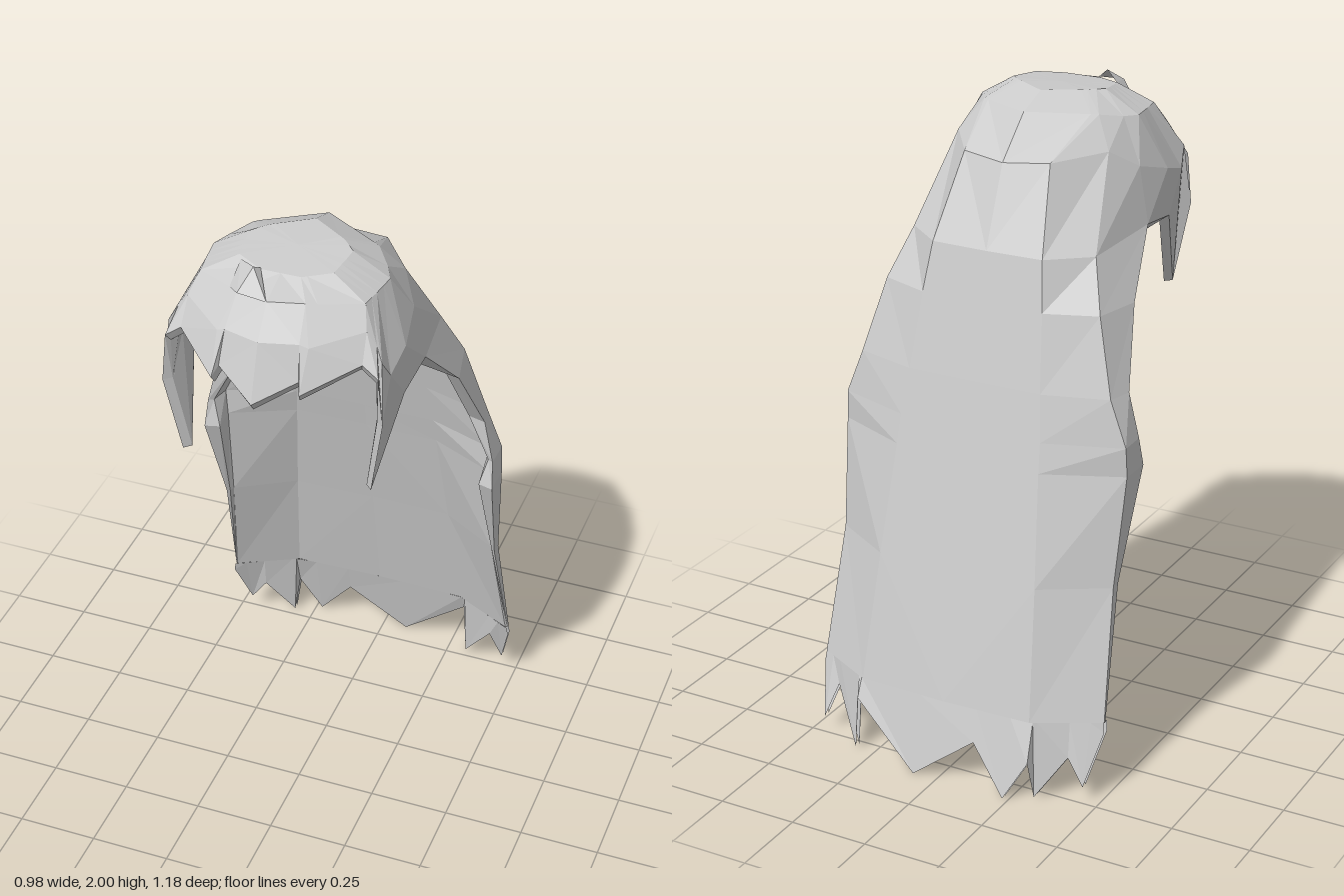
import * as THREE from 'three';

const material = new THREE.MeshStandardMaterial({ color: 0xcccccc, flatShading: true, side: THREE.DoubleSide });

// Skins neighbouring columns of points (left to right, each top to bottom); mirror adds the -x half.
function sheet(name, columns, mirror = true) {
  const pos = [];
  const tri = (a, b, c) => {
    pos.push(...a, ...b, ...c);
    if (mirror) for (const p of [a, c, b]) pos.push(-p[0], p[1], p[2]);
  };
  for (let i = 0; i < columns.length - 1; i++) {
    const l = columns[i], r = columns[i + 1];
    for (let j = 0; j < l.length - 1; j++) {
      tri(l[j], l[j + 1], r[j + 1]);
      tri(l[j], r[j + 1], r[j]);
    }
  }
  const geometry = new THREE.BufferGeometry();
  geometry.setAttribute('position', new THREE.Float32BufferAttribute(pos, 3));
  geometry.computeVertexNormals();
  const mesh = new THREE.Mesh(geometry, material);
  mesh.name = name;
  return mesh;
}

// Turns level rows [y, x, z, x, z, ...] into columns of points
const columnsFrom = levels => [0, 1, 2, 3].map(i => levels.map(l => [l[1 + 2 * i], l[0], l[2 + 2 * i]]));

export function createModel() {
  const group = new THREE.Group();
  group.name = 'longHair';

  // Half of the scalp: columns from the fringe centre round to the back centre, crown to edge
  const crown = [0, 1.993, 0.22];
  const fringe = [
    [[0, 1.98, 0.355], [0, 1.95, 0.46], [0, 1.86, 0.53], [0, 1.69, 0.588]],
    [[0.06, 1.98, 0.355], [0.1, 1.945, 0.425], [0.11, 1.86, 0.5], [0.118, 1.757, 0.53]],
    [[0.075, 1.981, 0.347], [0.13, 1.94, 0.41], [0.135, 1.85, 0.495], [0.13, 1.732, 0.558]],
    [[0.14, 1.985, 0.31], [0.245, 1.93, 0.345], [0.265, 1.87, 0.39], [0.27, 1.79, 0.437]],
    [[0.143, 1.987, 0.285], [0.25, 1.93, 0.31], [0.295, 1.83, 0.39], [0.318, 1.755, 0.44]],
  ];
  const sideLock = [
    fringe[4],
    [[0.146, 1.989, 0.265], [0.255, 1.93, 0.28], [0.318, 1.79, 0.41], [0.332, 1.6, 0.44]],
    [[0.15, 1.991, 0.24], [0.26, 1.93, 0.24], [0.33, 1.73, 0.37], [0.29, 1.35, 0.41]],
    [[0.155, 1.995, 0.2], [0.265, 1.93, 0.2], [0.335, 1.76, 0.26], [0.338, 1.61, 0.27]],
  ];
  const back = [
    sideLock[3],
    [[0.135, 1.997, 0.178], [0.24, 1.935, 0.15], [0.31, 1.8, 0.12], [0.345, 1.63, 0.11]],
    [[0.115, 1.998, 0.157], [0.192, 1.95, 0.083], [0.252, 1.86, 0.03], [0.305, 1.6, -0.15]],
    [[0.1, 1.999, 0.147], [0.172, 1.952, 0.07], [0.142, 1.85, -0.127], [0.182, 1.6, -0.25]],
    [[0, 2, 0.08], [0, 1.96, -0.025], [0, 1.84, -0.155], [0, 1.6, -0.255]],
  ];
  group.add(sheet('fringe', fringe), sheet('sideLocks', sideLock), sheet('backOfHead', back));
  const rim = [...fringe, ...sideLock.slice(1), ...back.slice(1)];
  group.add(sheet('crown', rim.map(c => [crown, c[0]])));

  // Long back curtain: each level holds y, then x,z of front edge, side corner, back corner, centre
  const outer = columnsFrom([
    [1.45, 0.392, -0.07, 0.358, -0.225, 0.2, -0.284, 0, -0.287],
    [1.22, 0.44, -0.195, 0.42, -0.275, 0.22, -0.334, 0, -0.337],
    [1.08, 0.472, -0.19, 0.474, -0.28, 0.235, -0.362, 0, -0.365],
    [0.99, 0.479, -0.172, 0.478, -0.278, 0.24, -0.381, 0, -0.384],
    [0.65, 0.462, -0.295, 0.464, -0.33, 0.265, -0.45, 0, -0.455],
    [0.25, 0.486, -0.415, 0.487, -0.425, 0.29, -0.53, 0, -0.538],
  ]);
  const curtain = outer.map((c, i) => [back[i + 1][3], ...c]);
  group.add(sheet('backCurtain', curtain));

  // Lining of the curtain, joined to its front edge by a narrow rim
  const lining = columnsFrom([
    [1.59, 0.308, 0.09, 0.28, -0.14, 0.178, -0.225, 0, -0.228],
    [1.45, 0.345, -0.085, 0.335, -0.2, 0.193, -0.257, 0, -0.26],
    [1.22, 0.385, -0.21, 0.38, -0.255, 0.213, -0.307, 0, -0.31],
    [1.08, 0.455, -0.2, 0.44, -0.26, 0.228, -0.337, 0, -0.34],
    [0.99, 0.432, -0.185, 0.435, -0.262, 0.235, -0.357, 0, -0.36],
    [0.65, 0.452, -0.3, 0.445, -0.315, 0.262, -0.427, 0, -0.432],
    [0.25, 0.484, -0.412, 0.48, -0.41, 0.29, -0.508, 0, -0.516],
  ]);
  group.add(sheet('curtainLining', [...lining.reverse(), curtain[0]]));

  // Thickness of the fringe and locks, and the inside of the scalp
  const inward = ([x, y, z]) => [x * 0.92, 1.6 + (y - 1.6) * 0.93, 0.12 + (z - 0.12) * 0.92];
  const liningTop = lining.slice().reverse().map(c => c[0]);
  const scalp = rim.map((c, i) => {
    const [x, y, z] = c[3];
    const edge = i < 5 ? [x * 0.97, y - 0.025, z - 0.018] : [x * 0.93, y, z - 0.02];
    return [c[3], i > 7 ? liningTop[i - 8] : edge, inward(c[2]), inward(c[1]), inward(c[0])];
  });
  group.add(sheet('lip', scalp.slice(0, 9).map(c => c.slice(0, 2))));
  group.add(sheet('scalpLining', scalp.map(c => c.slice(1))));

  // Ragged hem: tooth corners from the left side to the right, outer face and lining
  const teeth = [
    [0.49, 0.22, -0.43], [0.453, 0.06, -0.5], [0.415, 0.17, -0.47], [0.312, 0.01, -0.545],
    [0.298, 0.19, -0.55], [0.08, 0.005, -0.59], [-0.115, 0.15, -0.56], [-0.23, 0.005, -0.59],
    [-0.302, 0.13, -0.565], [-0.314, 0.01, -0.545], [-0.4, 0.14, -0.49], [-0.455, 0.06, -0.5],
    [-0.49, 0.22, -0.43],
  ];
  const hemZ = x => Math.abs(x) < 0.29
    ? -0.538 + 0.008 * Math.abs(x) / 0.29
    : -0.53 + 0.105 * (Math.abs(x) - 0.29) / 0.197;
  const hem = (name, inset) => sheet(name, teeth.map(([x, y, z]) =>
    [[x * 0.992, 0.25, hemZ(x * 0.992) + inset], [x, y, z + inset]]), false);
  group.add(hem('raggedHem', 0), hem('hemLining', 0.02));

  // Small raised tuft at the front of the crown
  group.add(sheet('tuft', [
    [[-0.13, 1.98, 0.325], [-0.13, 1.94, 0.41]],
    [[-0.07, 2, 0.38], [-0.09, 1.955, 0.455]],
    [[-0.06, 1.982, 0.352], [0, 1.95, 0.463]],
  ], false));

  return group;
}
